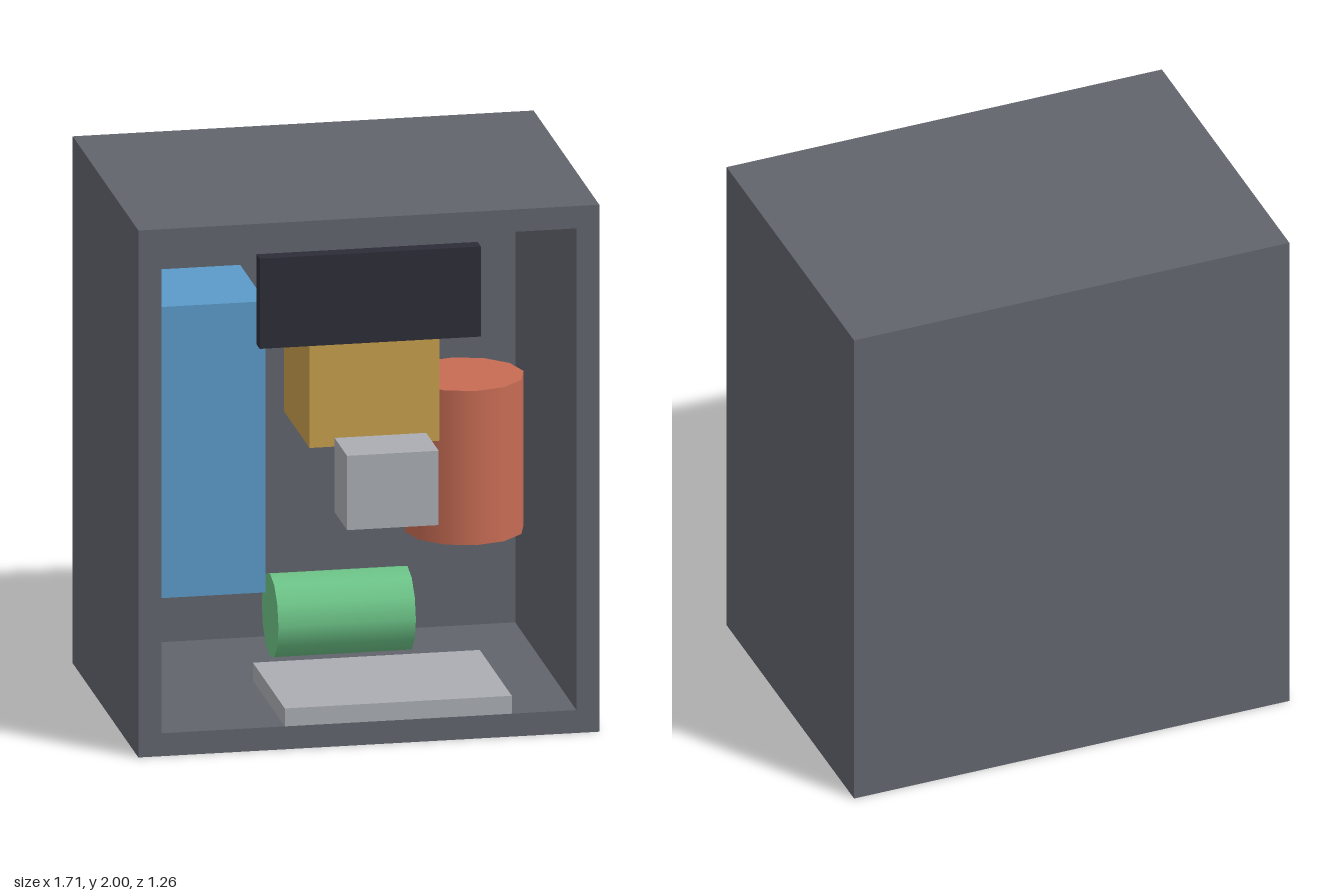
import * as THREE from 'three';

const colour = (name, hex) => {
  const m = new THREE.MeshStandardMaterial({ color: hex });
  m.name = name;
  return m;
};

export function createModel() {
  const group = new THREE.Group();
  const slate = colour('slate grey', 0x61646c);
  const black = colour('near black', 0x2d2d37);
  const blue = colour('blue', 0x5c9aca);
  const amber = colour('amber', 0xc79e4b);
  const red = colour('brick red', 0xc76c54);
  const green = colour('green', 0x6cc387);
  const silver = colour('light grey', 0xaaadb2);

  const add = (name, geometry, material) => {
    const mesh = new THREE.Mesh(geometry, material);
    mesh.name = name;
    group.add(mesh);
    return mesh;
  };
  // Box given by its limits on each axis
  const box = (name, material, [x0, x1], [y0, y1], [z0, z1]) =>
    add(name, new THREE.BoxGeometry(x1 - x0, y1 - y0, z1 - z0), material)
      .position.set((x0 + x1) / 2, (y0 + y1) / 2, (z0 + z1) / 2);

  // Open-fronted cabinet: walls around a rectangular opening, then the back
  const walls = new THREE.Shape();
  walls.moveTo(-0.855, 0).lineTo(0.855, 0).lineTo(0.855, 2).lineTo(-0.855, 2).closePath();
  const opening = new THREE.Path();
  opening.moveTo(-0.77, 0.087).lineTo(-0.77, 1.915).lineTo(0.77, 1.915).lineTo(0.77, 0.087).closePath();
  walls.holes.push(opening);
  const shell = new THREE.ExtrudeGeometry(walls, { depth: 1.148, bevelEnabled: false });
  add('cabinetWalls', shell, slate).position.z = -0.545;
  box('cabinetBack', slate, [-0.855, 0.855], [0, 2], [-0.63, -0.545]);

  // Rectangular components
  box('controlPanel', black, [-0.41, 0.41], [1.533, 1.875], [0.57, 0.63]);
  box('tallTank', blue, [-0.735, -0.295], [0.465, 1.57], [-0.32, 0.156]);
  box('upperUnit', amber, [-0.16, 0.322], [1.047, 1.557], [-0.18, 0.3]);
  box('smallModule', silver, [-0.085, 0.255], [0.825, 1.107], [0.39, 0.625]);
  box('dripTray', silver, [-0.317, 0.525], [0.095, 0.163], [0.03, 0.63]);

  // Upright and lying cylinders
  add('uprightCylinder', new THREE.CylinderGeometry(0.22, 0.22, 0.585, 12), red)
    .position.set(0.485, 0.893, -0.06);
  const lying = add('lyingCylinder', new THREE.CylinderGeometry(0.157, 0.157, 0.51, 12), green);
  lying.rotation.z = Math.PI / 2;
  lying.position.set(0, 0.342, 0.04);

  return group;
}
